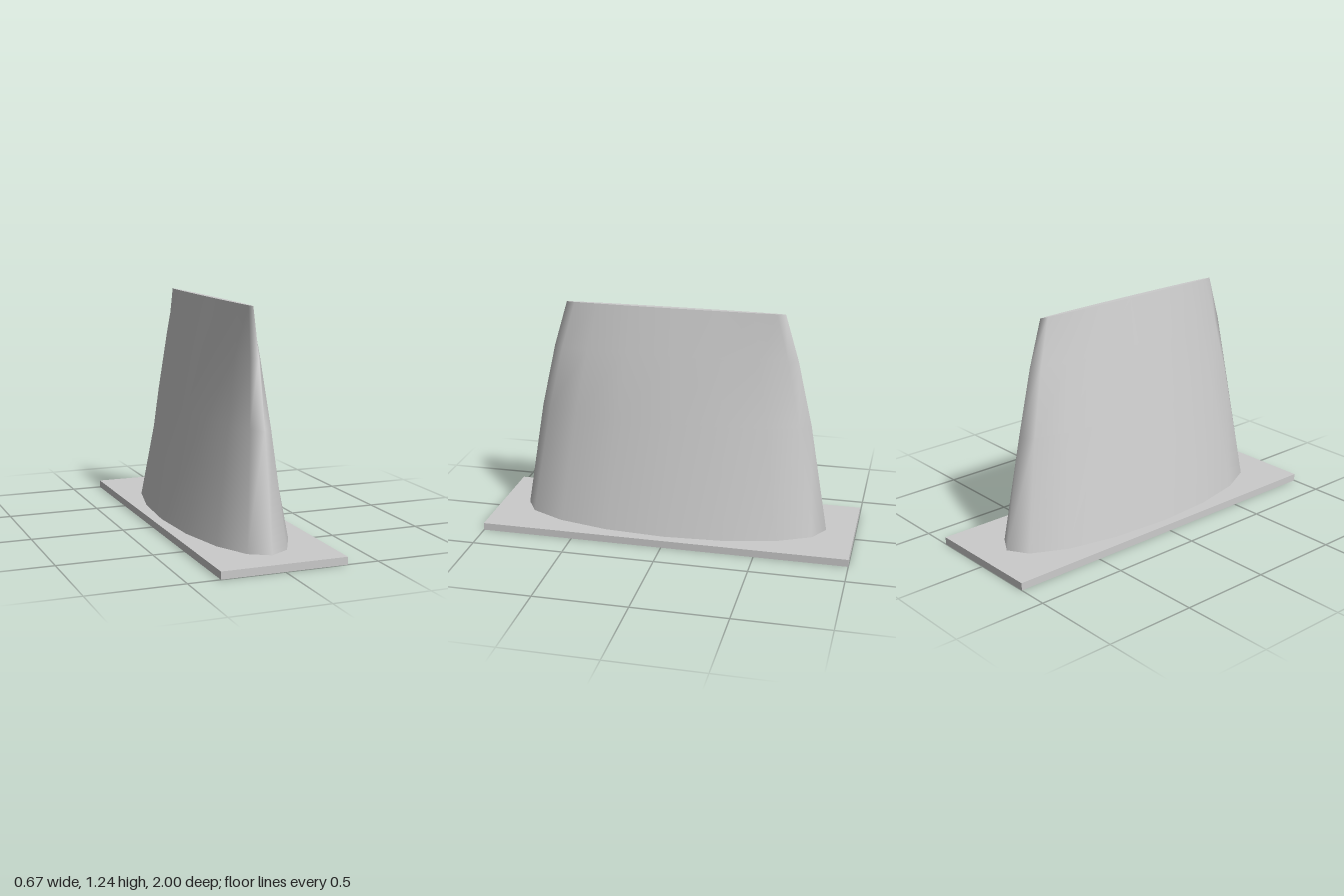
import * as THREE from 'three';
import { mergeVertices } from 'three/addons/utils/BufferGeometryUtils.js';

// Fin cross-sections from bottom to top: [height, half width x, half length z]
const SECTIONS = [
  [0.04, 0.28, 0.846],
  [0.64, 0.148, 0.744],
  [0.99, 0.07, 0.664],
  [1.237, 0.015, 0.59],
];
const SIDES = 16;

export function createModel() {
  const group = new THREE.Group();
  const material = new THREE.MeshStandardMaterial({ color: 0xcccccc });
  const add = (name, geometry) => {
    const mesh = new THREE.Mesh(geometry, material);
    mesh.name = name;
    group.add(mesh);
    return mesh;
  };

  // Flat rectangular base plate
  add('basePlate', new THREE.BoxGeometry(0.666, 0.04, 2)).position.y = 0.02;

  // Tapered elliptical fin: each ring of a unit cylinder takes its section's size
  const rows = SECTIONS.length - 1;
  let fin = new THREE.CylinderGeometry(1, 1, 1, SIDES, rows, true);
  const p = fin.attributes.position;
  for (let i = 0; i < p.count; i++) {
    const [y, rx, rz] = SECTIONS[Math.round((p.getY(i) + 0.5) * rows)];
    p.setXYZ(i, p.getX(i) * rx, y, p.getZ(i) * rz);
  }
  // Weld the seam so the normals run smoothly all round
  fin.deleteAttribute('uv');
  fin.deleteAttribute('normal');
  fin = mergeVertices(fin, 1e-5);
  fin.computeVertexNormals();
  add('fin', fin);

  // Narrow flat top of the fin
  const [topY, topX, topZ] = SECTIONS[rows];
  const cap = new THREE.CircleGeometry(1, SIDES);
  cap.rotateX(-Math.PI / 2).scale(topX, 1, topZ);
  add('finTop', cap).position.y = topY;

  return group;
}
